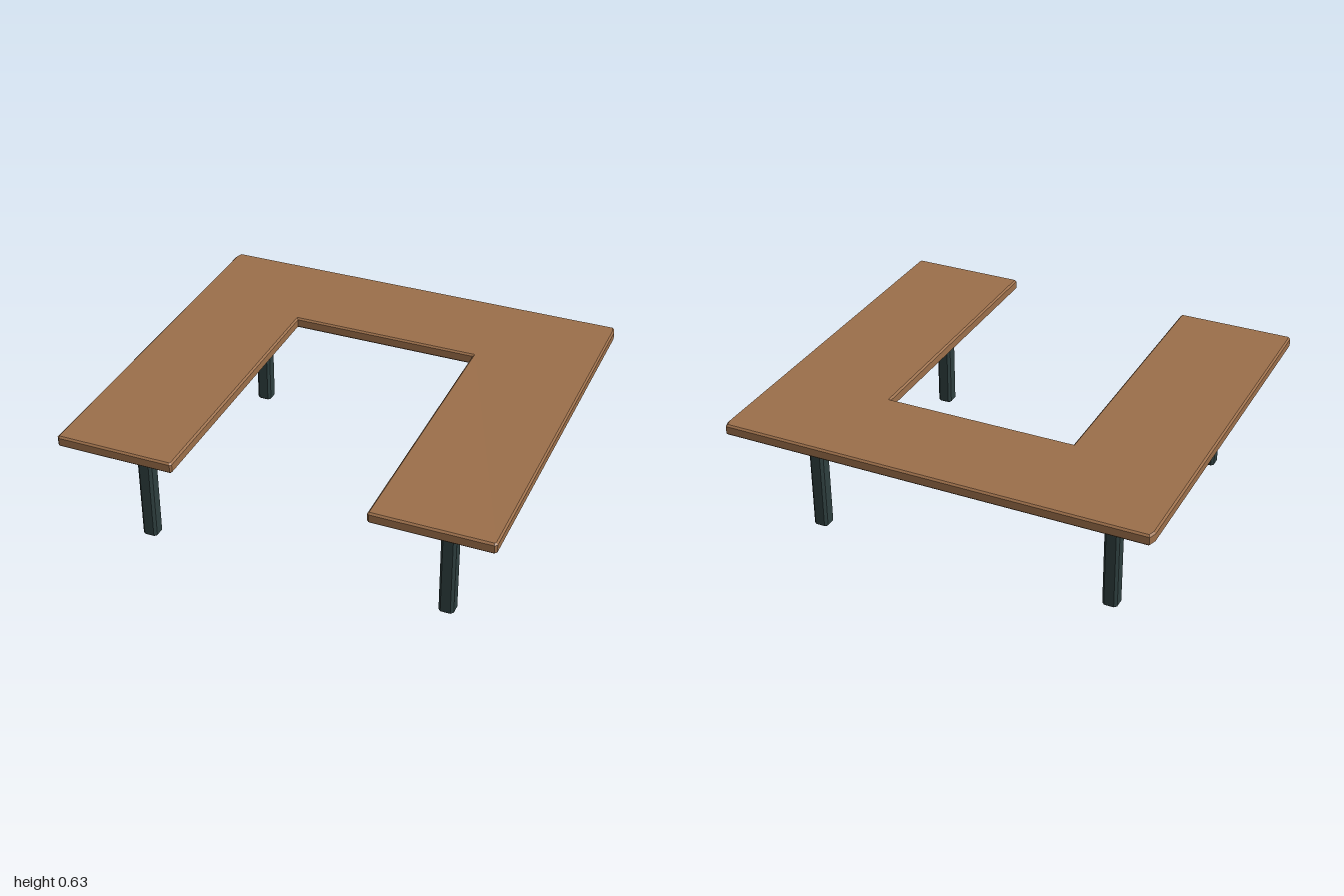
import * as THREE from 'three';

// Extrudes a plan outline of [x, z] points upwards with a small chamfer on top and bottom.
function slab(points, height, bevel) {
  const shape = new THREE.Shape(points.map(([x, z]) => new THREE.Vector2(x, -z)));
  const geometry = new THREE.ExtrudeGeometry(shape, {
    depth: height - 2 * bevel,
    bevelEnabled: true,
    bevelThickness: bevel,
    bevelSize: bevel,
    bevelOffset: -bevel,
    bevelSegments: 1,
  });
  geometry.translate(0, 0, bevel);
  geometry.rotateX(-Math.PI / 2);
  return geometry;
}

export function createModel() {
  const group = new THREE.Group();
  const wood = new THREE.MeshStandardMaterial({ color: 0x9c6f4a, flatShading: true });
  wood.name = 'wood';
  const metal = new THREE.MeshStandardMaterial({ color: 0x2e3f3f, flatShading: true });
  metal.name = 'darkMetal';

  // U-shaped table top, open to the front, outer corners clipped
  const half = [
    [0.445, -0.415], [0.445, 0.902], [0.453, 0.91], [0.99, 0.91],
    [1, 0.9], [1, -0.88], [0.988, -0.915],
  ];
  const mirrored = half.map(([x, z]) => [-x, z]).reverse();
  const top = new THREE.Mesh(slab([...half, ...mirrored], 0.052, 0.008), wood);
  top.name = 'tableTop';
  top.position.y = 0.574;
  group.add(top);

  // Four square legs with chamfered edges
  const w = 0.035, c = 0.023;
  const legGeometry = slab(
    [[-c, w], [c, w], [w, c], [w, -c], [c, -w], [-c, -w], [-w, -c], [-w, c]], 0.576, 0.005);
  for (const [zName, z] of [['front', 0.64], ['back', -0.607]]) {
    for (const [xName, x] of [['Left', 0.72], ['Right', -0.72]]) {
      const leg = new THREE.Mesh(legGeometry, metal);
      leg.name = `${zName}${xName}Leg`;
      leg.position.set(x, 0, z);
      group.add(leg);
    }
  }
  return group;
}
